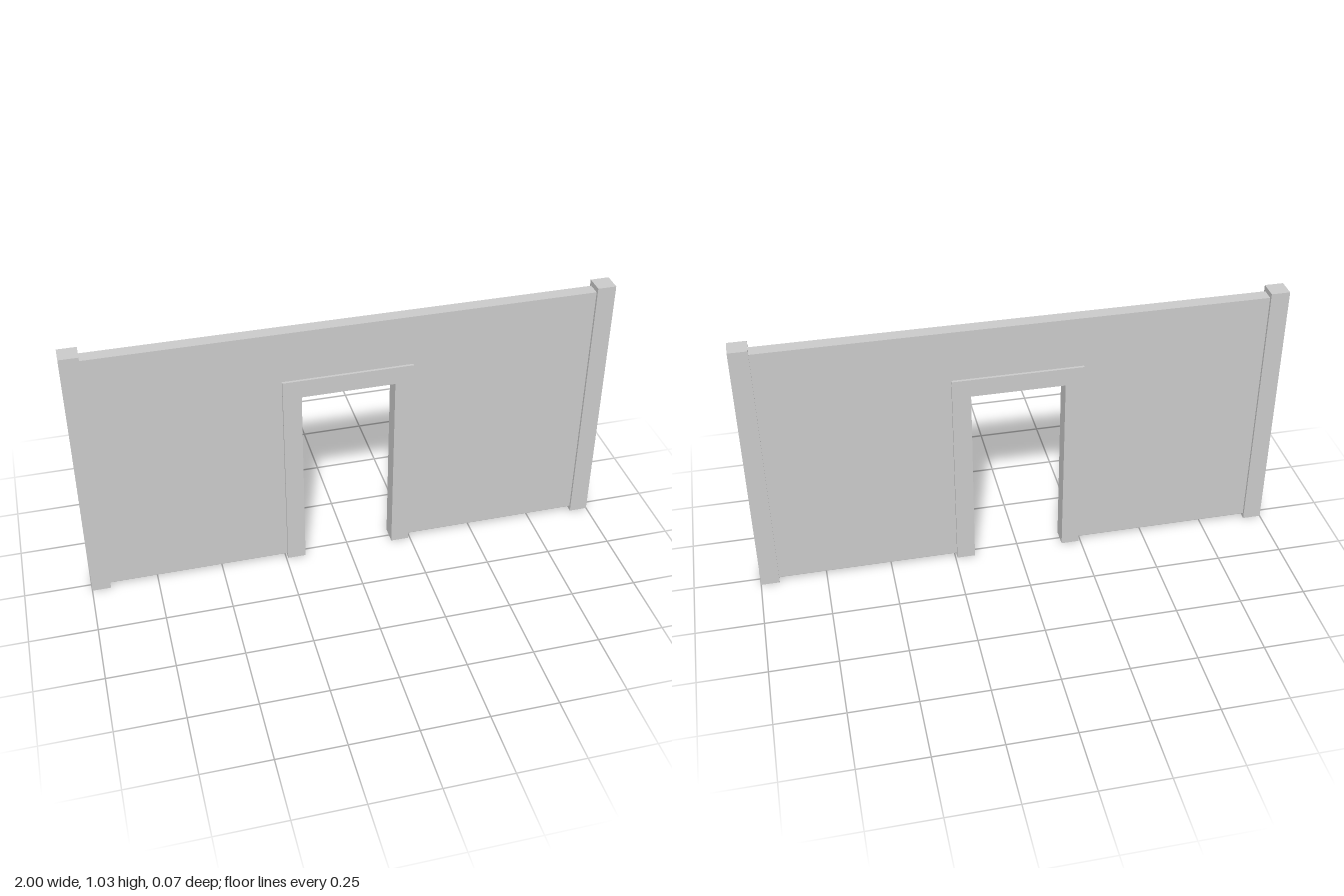
import * as THREE from 'three';

const material = new THREE.MeshStandardMaterial({ color: 0xcccccc, flatShading: true });

// An upside-down U (doorway outline) extruded symmetrically about z = 0
function arch(name, outerX, bottom, top, innerX, innerTop, depth) {
  const shape = new THREE.Shape([
    [-outerX, bottom], [-innerX, bottom], [-innerX, innerTop], [innerX, innerTop],
    [innerX, bottom], [outerX, bottom], [outerX, top], [-outerX, top],
  ].map(([x, y]) => new THREE.Vector2(x, y)));
  const geometry = new THREE.ExtrudeGeometry(shape, { depth, bevelEnabled: false });
  geometry.translate(0, 0, -depth / 2);
  const mesh = new THREE.Mesh(geometry, material);
  mesh.name = name;
  return mesh;
}

export function createModel() {
  const model = new THREE.Group();
  model.name = 'wallWithDoorway';

  // Wall panel, raised slightly off the ground, and the thicker door frame
  model.add(arch('wallPanel', 0.93, 0.018, 1.013, 0.243, 0.815, 0.05));
  model.add(arch('doorFrame', 0.243, 0, 0.815, 0.174, 0.745, 0.07));

  // End posts, a little taller than the wall
  const postHeight = 1.033;
  for (const [name, side] of [['leftPost', 1], ['rightPost', -1]]) {
    const post = new THREE.Mesh(new THREE.BoxGeometry(0.07, postHeight, 0.07), material);
    post.name = name;
    post.position.set(side * 0.965, postHeight / 2, 0);
    model.add(post);
  }
  return model;
}
